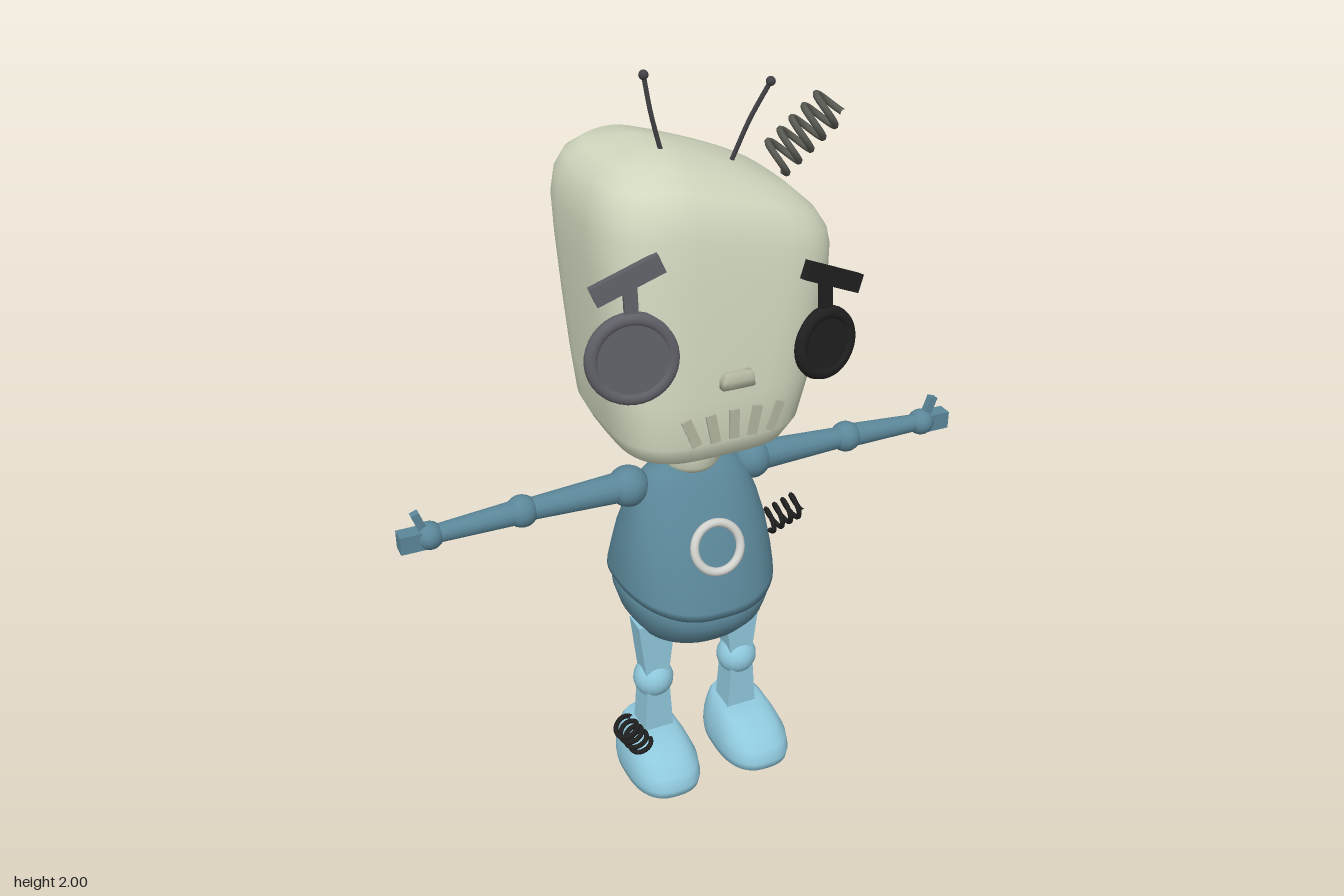
import * as THREE from 'three';

const mat = (name, color) => {
  const m = new THREE.MeshStandardMaterial({ color });
  m.name = name;
  return m;
};
const V = (x, y, z) => new THREE.Vector3(x, y, z);

// Closed loft through superellipse rings [y, xMin, xMax, zMin, zMax], bottom to top
function loft(rings, n, warpY = () => 0, seg = 48) {
  const pos = [], idx = [];
  const put = (x, y, z) => pos.push(x, y + warpY(x, y, z), z);
  const pw = (v) => Math.sign(v) * Math.abs(v) ** (2 / n);
  for (const [y, x0, x1, z0, z1] of rings) {
    for (let j = 0; j < seg; j++) {
      const a = (j / seg) * Math.PI * 2;
      put((x0 + x1) / 2 + ((x1 - x0) / 2) * pw(Math.cos(a)), y, (z0 + z1) / 2 + ((z1 - z0) / 2) * pw(Math.sin(a)));
    }
  }
  const last = rings.length - 1;
  for (const r of [rings[0], rings[last]]) put((r[1] + r[2]) / 2, r[0], (r[3] + r[4]) / 2);
  const bottom = rings.length * seg, top = bottom + 1;
  for (let j = 0; j < seg; j++) {
    const k = (j + 1) % seg;
    for (let i = 0; i < last; i++) {
      const a = i * seg, b = a + seg;
      idx.push(a + j, b + j, a + k, a + k, b + j, b + k);
    }
    idx.push(bottom, j, k, top, last * seg + k, last * seg + j);
  }
  const g = new THREE.BufferGeometry();
  g.setAttribute('position', new THREE.Float32BufferAttribute(pos, 3));
  g.setIndex(idx);
  g.computeVertexNormals();
  return g;
}

// Head outline
const HEAD_N = 3.6;
const HEAD = [
  [1.05, -0.13, 0.12, -0.08, 0.2], [1.057, -0.2, 0.17, -0.15, 0.255], [1.08, -0.235, 0.21, -0.19, 0.29],
  [1.13, -0.26, 0.245, -0.215, 0.31], [1.25, -0.27, 0.285, -0.243, 0.308], [1.4, -0.277, 0.32, -0.275, 0.295],
  [1.55, -0.283, 0.345, -0.3, 0.28], [1.65, -0.283, 0.355, -0.316, 0.265], [1.71, -0.272, 0.35, -0.312, 0.25],
  [1.755, -0.25, 0.325, -0.285, 0.22], [1.79, -0.21, 0.27, -0.23, 0.16], [1.81, -0.12, 0.15, -0.1, 0.06],
];
const headWarp = (x, y) => {
  const t = Math.max(0, x + 0.1), w = THREE.MathUtils.smoothstep(y, 1.35, 1.8);
  return (-0.38 * w * t * t) / (t + 0.08);
};
// Front surface of the head at (x, y)
function headFront(x, y) {
  const i = HEAD.findIndex((r) => r[0] > y), a = HEAD[i - 1], b = HEAD[i];
  const t = (y - a[0]) / (b[0] - a[0]);
  const [, x0, x1, z0, z1] = a.map((v, k) => v + (b[k] - v) * t);
  const u = Math.min(1, Math.abs((x - (x0 + x1) / 2) / ((x1 - x0) / 2)));
  return (z0 + z1) / 2 + ((z1 - z0) / 2) * (1 - u ** HEAD_N) ** (1 / HEAD_N);
}

export function createModel() {
  const root = new THREE.Group();
  root.name = 'robot';
  const cream = mat('cream', 0xd0d7be), trim = mat('dullCream', 0xb3b7a0), steel = mat('steelBlue', 0x5b8799);
  const sky = mat('lightBlue', 0x8fc8dc), grey = mat('slateGrey', 0x5f5f67), black = mat('black', 0x1f1f20);
  const wire = mat('wireGrey', 0x5a5a54), metal = mat('darkMetal', 0x424246), pale = mat('paleGrey', 0xd2d2ce);

  const add = (name, geo, m, p = [0, 0, 0], r = [0, 0, 0], parent = root) => {
    const mesh = new THREE.Mesh(geo, m);
    mesh.name = name;
    mesh.position.set(...p);
    mesh.rotation.set(...r);
    parent.add(mesh);
    return mesh;
  };
  const ball = (name, r, m, p, parent) => add(name, new THREE.SphereGeometry(r, 20, 14), m, p, [0, 0, 0], parent);
  // Tapered rod from a to b
  const rod = (name, a, b, ra, rb, m, parent) => {
    const d = b.clone().sub(a);
    const mesh = add(name, new THREE.CylinderGeometry(rb, ra, d.length(), 16), m, a.clone().add(b).multiplyScalar(0.5).toArray(), [0, 0, 0], parent);
    mesh.quaternion.setFromUnitVectors(V(0, 1, 0), d.normalize());
  };
  // Coil spring from a to b
  const spring = (name, a, b, r, turns, tube, m) => {
    const axis = b.clone().sub(a), q = new THREE.Quaternion().setFromUnitVectors(V(0, 1, 0), axis.clone().normalize());
    const pts = [];
    for (let i = 0; i <= turns * 12; i++) {
      const w = (i / 12) * Math.PI * 2;
      pts.push(V(r * Math.cos(w), 0, r * Math.sin(w)).applyQuaternion(q).add(a).addScaledVector(axis, i / (turns * 12)));
    }
    add(name, new THREE.TubeGeometry(new THREE.CatmullRomCurve3(pts), Math.round(turns * 20), tube, 7), m);
  };

  // Head, neck and collar
  add('head', loft(HEAD, HEAD_N, headWarp), cream);
  add('neck', new THREE.CylinderGeometry(0.042, 0.042, 0.1, 20), steel, [0, 1.02, 0.062]);
  const collar = [[0, 0.94], [0.065, 0.94], [0.08, 0.96], [0.082, 1.0], [0.076, 1.022], [0.06, 1.03], [0, 1.03]];
  add('collar', new THREE.LatheGeometry(collar.map((p) => new THREE.Vector2(...p)), 28), cream, [0, 0, 0.063]);

  // Torso in two shells that meet at a sagging seam
  const sag = (x, y, z) => -0.045 * Math.min(1, ((z - 0.06) / 0.22) ** 2) * Math.max(0, 1 - Math.abs(y - 0.62) / 0.18);
  const ring = ([y, w, z0, z1]) => [y, -w, w, z0, z1];
  add('upperBody', loft([
    [0.62, 0.222, -0.162, 0.288], [0.635, 0.222, -0.157, 0.284], [0.69, 0.216, -0.128, 0.262], [0.76, 0.205, -0.095, 0.23],
    [0.84, 0.183, -0.055, 0.19], [0.91, 0.157, -0.018, 0.146], [0.945, 0.125, 0.008, 0.118], [0.962, 0.075, 0.035, 0.092],
  ].map(ring), 2.3, sag), steel);
  add('lowerBody', loft([
    [0.415, 0.05, 0.03, 0.12], [0.428, 0.11, -0.025, 0.17], [0.465, 0.162, -0.08, 0.225], [0.52, 0.197, -0.125, 0.264],
    [0.57, 0.212, -0.147, 0.278], [0.63, 0.216, -0.153, 0.28],
  ].map(ring), 2.2, sag), steel);
  add('chestRing', new THREE.TorusGeometry(0.066, 0.012, 10, 36), pale, [0, 0.77, 0.238], [-0.37, 0, 0]);

  // Eyes with rims, stems and slanted brows
  const eye = (side, x, y, z, r, m, yaw, brow, slant) => {
    const g = new THREE.Group();
    g.name = side + 'Eye';
    g.position.set(x, y, z);
    g.rotation.set(-0.1, yaw, 0);
    root.add(g);
    add('eyeRim', new THREE.TorusGeometry(r - 0.018, 0.018, 10, 36), m, [0, 0, 0], [0, 0, 0], g);
    add('eyeDisc', new THREE.CylinderGeometry(r - 0.02, r - 0.02, 0.024, 32), m, [0, 0, 0], [Math.PI / 2, 0, 0], g);
    const h = brow[1] - r + 0.01;
    add('browStem', new THREE.BoxGeometry(0.033, h, 0.018), m, [0.003, r - 0.01 + h / 2, 0], [0, 0, 0], g);
    add('brow', new THREE.BoxGeometry(0.18, 0.048, 0.025), m, [...brow, 0.012], [0, 0, slant], g);
  };
  eye('right', -0.24, 1.38, 0.257, 0.118, grey, -0.18, [-0.005, 0.2], 0.385);
  eye('left', 0.27, 1.33, 0.277, 0.096, black, 0.2, [0.015, 0.172], -0.4);

  // Nose and fanned mouth slats
  add('nose', loft([[1.28, -0.034, 0.056, 0.28, 0.327], [1.3, -0.032, 0.055, 0.28, 0.327], [1.318, -0.022, 0.05, 0.28, 0.32]], 8), trim);
  for (let i = -2; i <= 2; i++) {
    const x = 0.005 + i * 0.057, y = 1.177 - Math.abs(i) * 0.002;
    add('mouthSlat', new THREE.BoxGeometry(0.026, 0.08, 0.009), trim, [x, y, headFront(x, y) + 0.002], [0, i * 0.04, -i * 0.19]);
  }

  // Antennae
  for (const [a, mid, b] of [
    [V(-0.062, 1.78, 0.035), V(-0.095, 1.9, 0.04), V(-0.11, 1.988, 0.036)],
    [V(0.125, 1.74, 0.025), V(0.165, 1.85, 0.045), V(0.208, 1.943, 0.066)],
  ]) {
    add('antenna', new THREE.TubeGeometry(new THREE.CatmullRomCurve3([a, mid, b]), 12, 0.006, 8), metal);
    ball('antennaTip', 0.012, metal, b.toArray());
  }

  // Loose springs
  spring('headSpring', V(0.23, 1.735, 0.05), V(0.375, 1.875, 0.08), 0.044, 5, 0.009, wire);
  spring('bodySpring', V(0.185, 0.755, 0.16), V(0.285, 0.79, 0.16), 0.031, 4, 0.007, black);
  spring('footSpring', V(-0.2, 0.125, 0.18), V(-0.257, 0.22, 0.185), 0.03, 4, 0.007, black);

  // Arms and legs, mirrored
  for (const s of [1, -1]) {
    const arm = new THREE.Group();
    arm.name = s > 0 ? 'leftArm' : 'rightArm';
    root.add(arm);
    ball('shoulder', 0.056, steel, [s * 0.18, 0.908, 0.065], arm);
    rod('upperArm', V(s * 0.18, 0.91, 0.065), V(s * 0.475, 0.906, 0.065), 0.043, 0.029, steel, arm);
    ball('elbow', 0.043, steel, [s * 0.475, 0.906, 0.065], arm);
    rod('forearm', V(s * 0.475, 0.906, 0.065), V(s * 0.72, 0.897, 0.065), 0.034, 0.024, steel, arm);
    ball('wrist', 0.037, steel, [s * 0.72, 0.897, 0.065], arm);
    add('hand', new THREE.BoxGeometry(0.08, 0.05, 0.042), steel, [s * 0.76, 0.895, 0.065], [0, 0, 0], arm);
    add('thumb', new THREE.BoxGeometry(0.022, 0.07, 0.02), steel, [s * 0.742, 0.938, 0.065], [0, 0, -s * 0.35], arm);

    const leg = new THREE.Group();
    leg.name = s > 0 ? 'leftLeg' : 'rightLeg';
    leg.position.set(s * 0.13, 0, 0.102);
    root.add(leg);
    // Four-sided limb, flat faces
    const limb = (name, y0, y1, w0, w1, d) => {
      const g = new THREE.BoxGeometry(2, y1 - y0, d), p = g.attributes.position;
      for (let i = 0; i < p.count; i++) p.setX(i, p.getX(i) * (p.getY(i) < 0 ? w0 : w1));
      g.computeVertexNormals();
      add(name, g, sky, [0, (y0 + y1) / 2, 0], [0, 0, 0], leg);
    };
    limb('thigh', 0.3, 0.49, 0.032, 0.055, 0.066);
    ball('knee', 0.057, sky, [0, 0.29, 0], leg);
    limb('shin', 0.11, 0.28, 0.045, 0.033, 0.08);
    add('foot', loft([
      [0, -0.085, 0.085, 0.012, 0.28], [0.012, -0.1, 0.1, 0.0, 0.3], [0.035, -0.103, 0.103, -0.004, 0.305],
      [0.07, -0.1, 0.1, -0.002, 0.29], [0.1, -0.088, 0.088, 0.0, 0.25], [0.122, -0.076, 0.076, 0.005, 0.205], [0.135, -0.06, 0.06, 0.012, 0.16],
    ], 2.6), sky, [s * 0.01, 0, -0.102], [0, 0, 0], leg);
  }
  return root;
}
